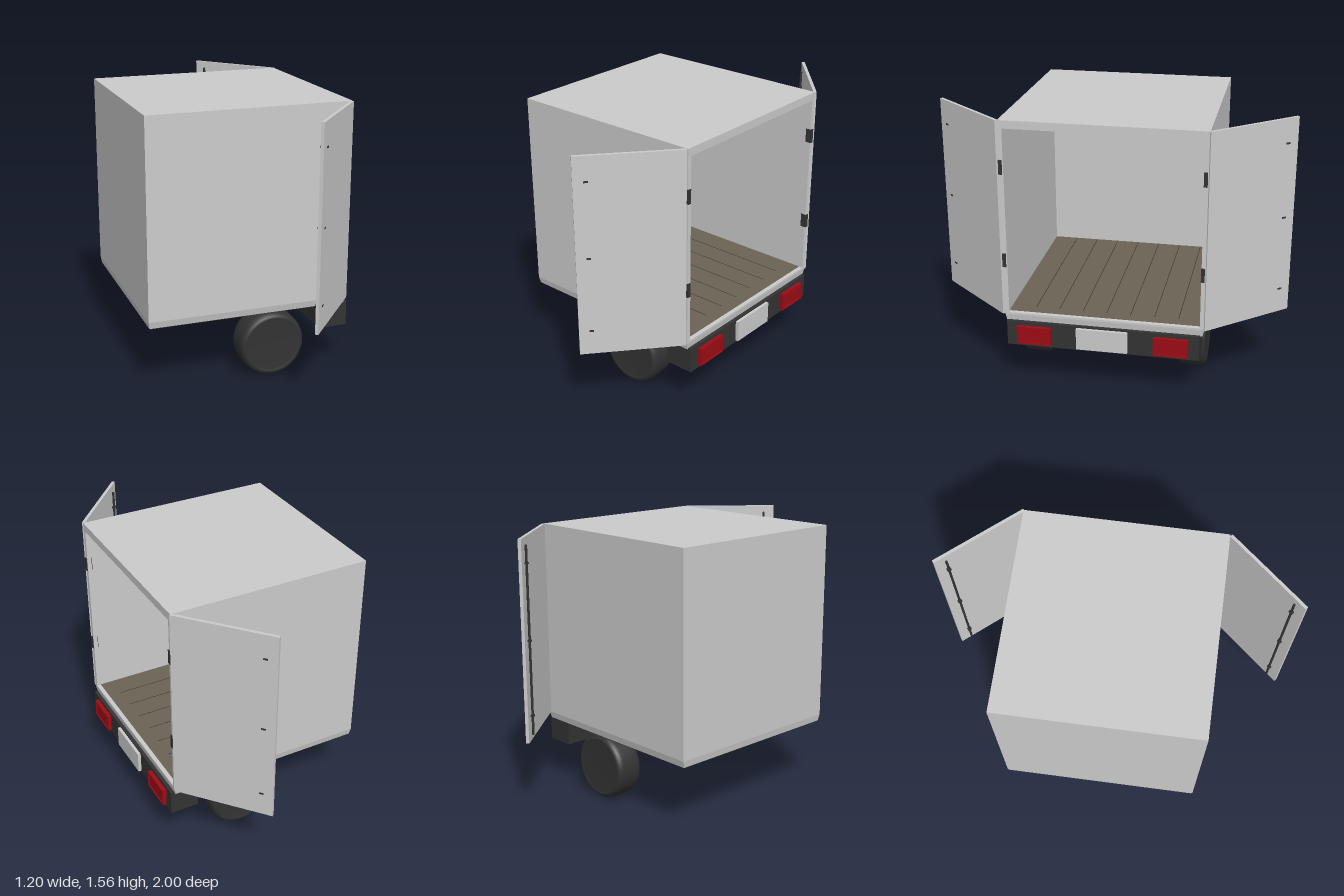
import * as THREE from 'three';

const mat = (color) => new THREE.MeshStandardMaterial({ color });
const grey = mat(0xcccccc), black = mat(0x333333), red = mat(0x9c0c16), plate = mat(0xcccccc);
const wood = mat(0x6b6455), gap = mat(0x3c382f), under = mat(0x3c3a32);

export function createModel() {
  const model = new THREE.Group();
  model.name = 'boxTrailer';

  // Box given by its minimum and maximum corners
  const block = (name, material, x0, x1, y0, y1, z0, z1, parent = model) => {
    const m = new THREE.Mesh(new THREE.BoxGeometry(x1 - x0, y1 - y0, z1 - z0), material);
    m.position.set((x0 + x1) / 2, (y0 + y1) / 2, (z0 + z1) / 2);
    m.name = name;
    parent.add(m);
    return m;
  };

  // Cargo body: shell open at +x
  const body = new THREE.Group();
  body.name = 'cargoBody';
  body.position.z = -0.004;
  model.add(body);
  const H = 0.562, back = -0.6, rear = 0.56;
  block('roof', grey, back, rear, 1.535, 1.56, -H, H, body);
  block('endWall', grey, back, back + 0.015, 0.43, 1.535, -H, H, body);
  for (const s of [-1, 1]) {
    const [a, b] = s > 0 ? [H - 0.015, H] : [-H, -H + 0.015];
    block('sideWall', grey, back + 0.015, rear, 0.43, 1.535, a, b, body);
    const [c, d] = s > 0 ? [H - 0.024, H - 0.015] : [-H + 0.015, -H + 0.024];
    block('rearPost', grey, rear - 0.025, rear, 0.44, 1.52, c, d, body);
  }
  block('rearHeader', grey, rear - 0.025, rear, 1.515, 1.535, -H + 0.015, H - 0.015, body);

  // Base rim, tapering inwards to its lower edge
  const base = block('baseRim', grey, back, rear, 0.391, 0.43, -H, H, body);
  const p = base.geometry.attributes.position;
  for (let i = 0; i < p.count; i++) {
    if (p.getY(i) < 0) p.setXYZ(i, p.getX(i) * 0.99, p.getY(i), p.getZ(i) * 0.985);
  }
  base.geometry.computeVertexNormals();
  block('underside', under, back + 0.008, rear - 0.008, 0.388, 0.392, -H + 0.01, H - 0.01, body);
  block('rearSill', grey, rear - 0.025, rear, 0.43, 0.442, -H + 0.015, H - 0.015, body);

  // Plank floor with dark seams
  block('floor', wood, back + 0.015, rear - 0.025, 0.43, 0.438, -H + 0.015, H - 0.015, body);
  for (let i = 1; i < 8; i++) {
    const z = -0.545 + i * 0.136;
    block('floorSeam', gap, back + 0.03, rear - 0.1, 0.437, 0.4388, z - 0.002, z + 0.002, body);
  }

  // Doors swung open, with lock rod on the outer face
  const L = 0.568;
  for (const s of [-1, 1]) {
    const door = new THREE.Group();
    door.name = s > 0 ? 'leftDoor' : 'rightDoor';
    door.position.set(s > 0 ? 0.555 : 0.56, 0, s * 0.564);
    door.rotation.y = Math.atan2(-s * 0.43, -0.37);
    model.add(door);
    block('doorPanel', grey, 0, L, 0.43, 1.56, -0.009, 0.009, door);
    const rod = new THREE.Mesh(new THREE.CylinderGeometry(0.007, 0.007, 1.06, 12), black);
    rod.name = 'lockRod';
    rod.position.set(0.502, 0.99, s * 0.018);
    door.add(rod);
    for (const y of [0.57, 0.997, 1.422]) {
      const bracket = block('rodBracket', black, 0.49, 0.514, y - 0.005, y + 0.005, -0.019, 0.019, door);
      bracket.position.z = s * 0.008;
    }
    // Hinges at the rear corner
    for (const y of [0.76, 1.3]) {
      block('hinge', black, 0.53, 0.566, y - 0.04, y + 0.04, s * 0.55 - 0.01, s * 0.55 + 0.01);
    }
  }

  // Bumper, lamps and plate
  block('bumper', black, 0.41, 0.576, 0.25, 0.396, -0.545, 0.545);
  block('numberPlate', plate, 0.576, 0.594, 0.262, 0.388, -0.145, 0.145);
  for (const s of [-1, 1]) {
    const lamp = new THREE.Group();
    lamp.name = 'tailLamp';
    lamp.position.set(0.576, 0.322, s * 0.387);
    model.add(lamp);
    block('lens', red, 0, 0.018, -0.05, 0.05, -0.094, 0.094, lamp);
    for (const t of [-1, 1]) {
      block('rim', red, 0, 0.024, t * 0.048 - 0.005, t * 0.048 + 0.005, -0.097, 0.097, lamp);
      block('rim', red, 0, 0.024, -0.043, 0.043, t * 0.092 - 0.005, t * 0.092 + 0.005, lamp);
    }
  }

  // Wheels: closed profile turned about the axle
  const profile = [
    [0, -0.076], [0.15, -0.076], [0.157, -0.083], [0.172, -0.081], [0.185, -0.068], [0.19, -0.045],
    [0.19, 0.045], [0.185, 0.068], [0.172, 0.081], [0.157, 0.083], [0.15, 0.076], [0, 0.076],
  ].map(([r, h]) => new THREE.Vector2(r, h));
  for (const s of [-1, 1]) {
    const wheel = new THREE.Mesh(new THREE.LatheGeometry(profile, 40), black);
    wheel.name = s > 0 ? 'leftWheel' : 'rightWheel';
    wheel.rotation.x = Math.PI / 2;
    wheel.position.set(0.127, 0.19, s * 0.465);
    model.add(wheel);
  }

  return model;
}
